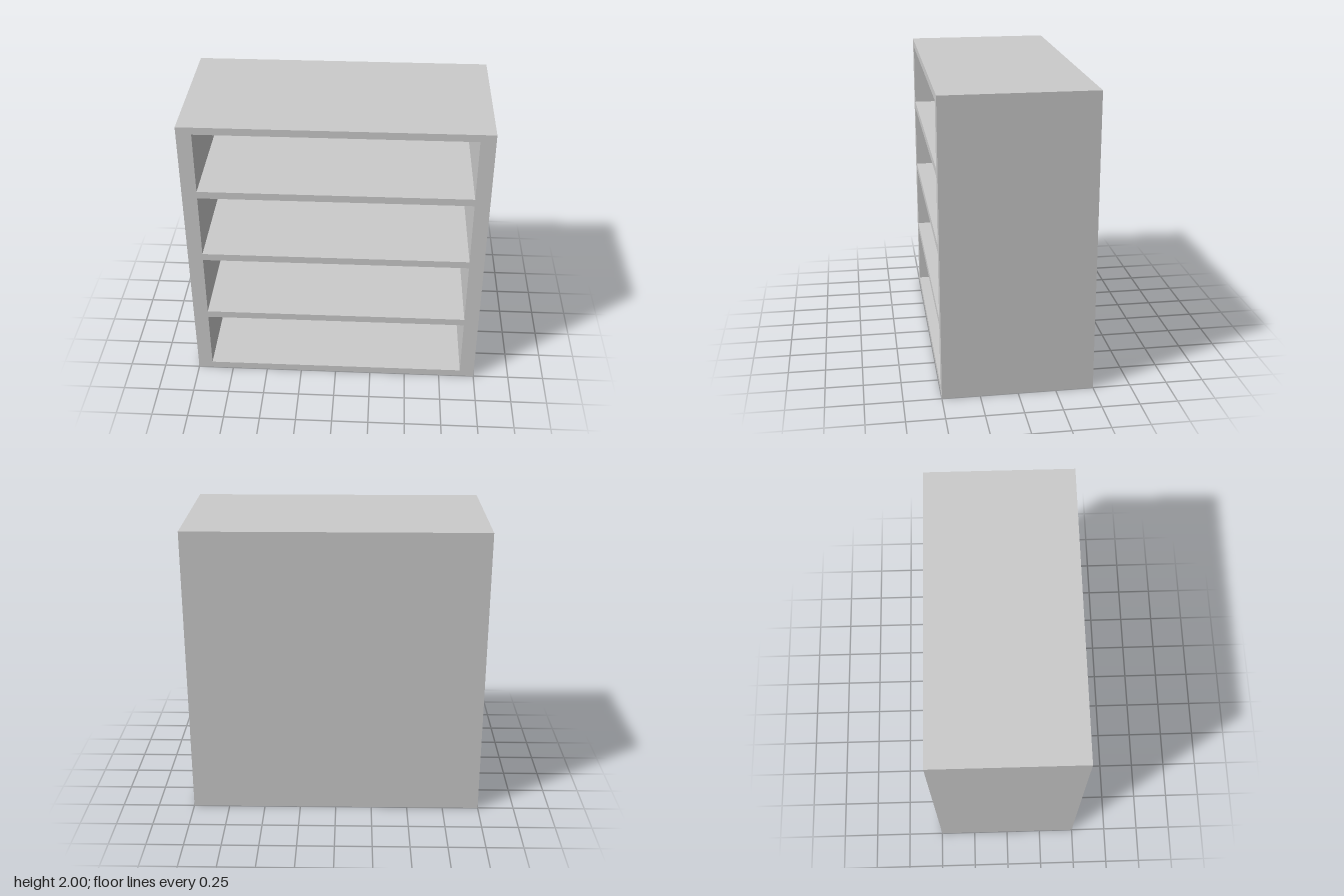
import * as THREE from 'three';

const WIDTH = 2, HEIGHT = 2, DEPTH = 1;
const SIDE = 0.1;    // side wall thickness
const BOARD = 0.05;  // top, bottom, shelf and back thickness
const BAYS = 4;

// Closed rectangle outline, used for the case and its openings
function rectangle(PathType, x0, y0, x1, y1) {
  return new PathType([
    new THREE.Vector2(x0, y0), new THREE.Vector2(x1, y0),
    new THREE.Vector2(x1, y1), new THREE.Vector2(x0, y1),
  ]);
}

export function createModel() {
  const group = new THREE.Group();
  group.name = 'bookcase';
  const material = new THREE.MeshStandardMaterial({ color: 0xcccccc, flatShading: true });

  // Walls, top, bottom and shelves as one frame with four openings
  const outline = rectangle(THREE.Shape, -WIDTH / 2, 0, WIDTH / 2, HEIGHT);
  const pitch = HEIGHT / BAYS;
  for (let i = 0; i < BAYS; i++) {
    const bottom = i === 0 ? BOARD : i * pitch + BOARD / 2;
    const top = i === BAYS - 1 ? HEIGHT - BOARD : (i + 1) * pitch - BOARD / 2;
    outline.holes.push(rectangle(THREE.Path, -WIDTH / 2 + SIDE, bottom, WIDTH / 2 - SIDE, top));
  }
  const frame = new THREE.Mesh(
    new THREE.ExtrudeGeometry(outline, { depth: DEPTH - BOARD, bevelEnabled: false }),
    material,
  );
  frame.name = 'shelfFrame';
  frame.position.z = -DEPTH / 2 + BOARD;
  group.add(frame);

  // Back panel closing every bay
  const back = new THREE.Mesh(new THREE.BoxGeometry(WIDTH, HEIGHT, BOARD), material);
  back.name = 'backPanel';
  back.position.set(0, HEIGHT / 2, -DEPTH / 2 + BOARD / 2);
  group.add(back);

  return group;
}
